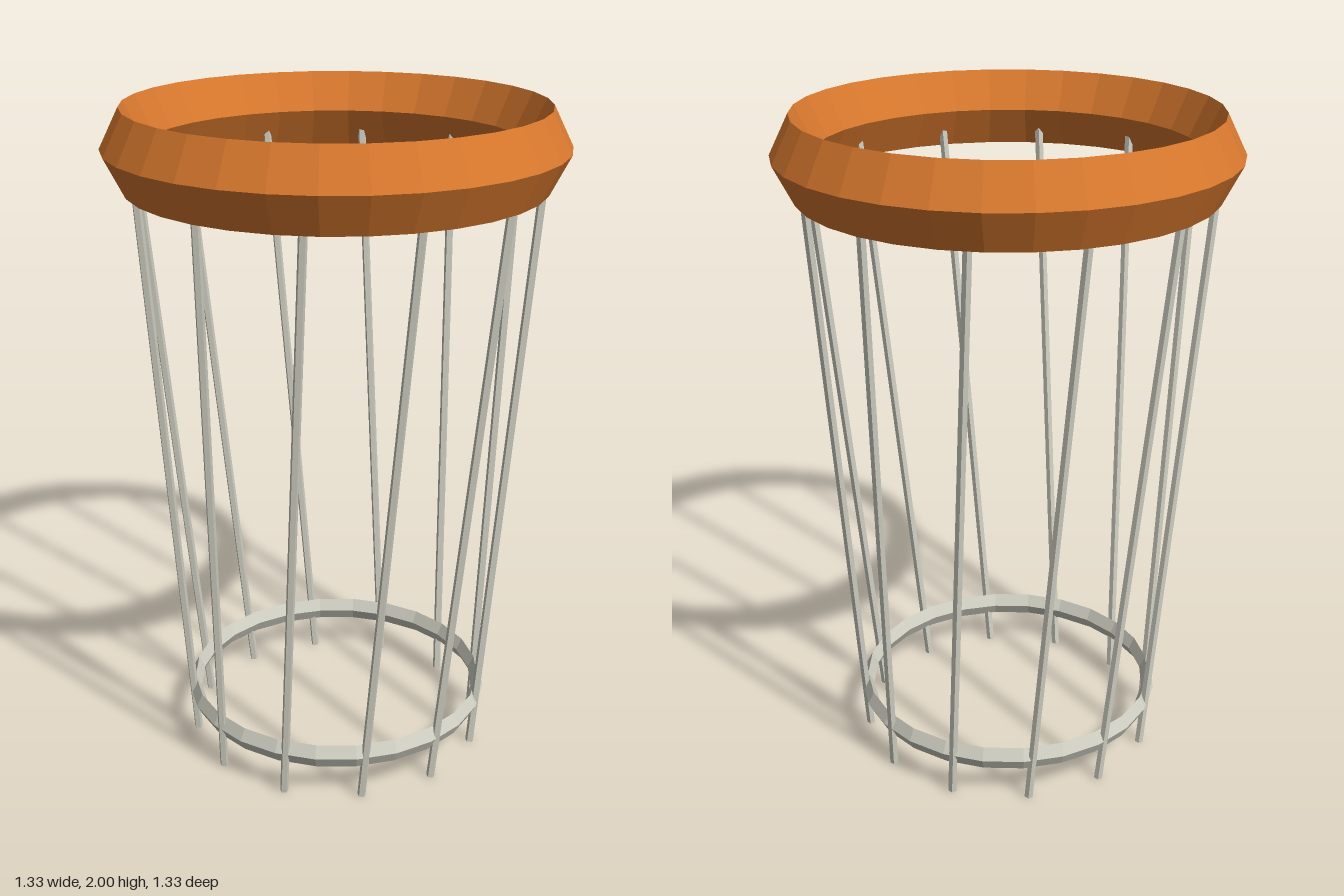
import * as THREE from 'three';

const orange = new THREE.MeshStandardMaterial({ color: 0xd9792e, flatShading: true });
orange.name = 'orange rim';
const steel = new THREE.MeshStandardMaterial({ color: 0xcfcfc3, flatShading: true });
steel.name = 'pale steel';

// Hoop with a tall diamond cross-section, lying flat at height y
function hoop(name, radius, halfWidth, halfHeight, y, segments, material) {
  const geometry = new THREE.TorusGeometry(radius, halfWidth, 4, segments);
  geometry.scale(1, 1, halfHeight / halfWidth);
  geometry.rotateX(-Math.PI / 2);
  const mesh = new THREE.Mesh(geometry, material);
  mesh.name = name;
  mesh.position.y = y;
  return mesh;
}

// Straight thin rod between two points
function rod(name, from, to, radius, material) {
  const axis = to.clone().sub(from);
  const mesh = new THREE.Mesh(new THREE.CylinderGeometry(radius, radius, axis.length(), 5), material);
  mesh.name = name;
  mesh.position.copy(from).add(to).multiplyScalar(0.5);
  mesh.quaternion.setFromUnitVectors(new THREE.Vector3(0, 1, 0), axis.normalize());
  return mesh;
}

const polar = (radius, angle, y) =>
  new THREE.Vector3(radius * Math.cos(angle), y, radius * Math.sin(angle));

export function createModel() {
  const model = new THREE.Group();
  model.name = 'basket';
  model.add(hoop('rim', 0.607, 0.058, 0.115, 1.885, 32, orange));
  model.add(hoop('lowerRing', 0.457, 0.019, 0.037, 0.145, 24, steel));

  // Twelve slanted rods, each twisted round the basket toward its foot
  const rods = new THREE.Group();
  rods.name = 'rods';
  const count = 12;
  const twist = THREE.MathUtils.degToRad(12.8);
  for (let i = 0; i < count; i++) {
    const angle = (i / count) * Math.PI * 2;
    rods.add(rod('rod', polar(0.455, angle + twist, 0.003), polar(0.595, angle, 1.885), 0.013, steel));
  }
  model.add(rods);
  return model;
}
